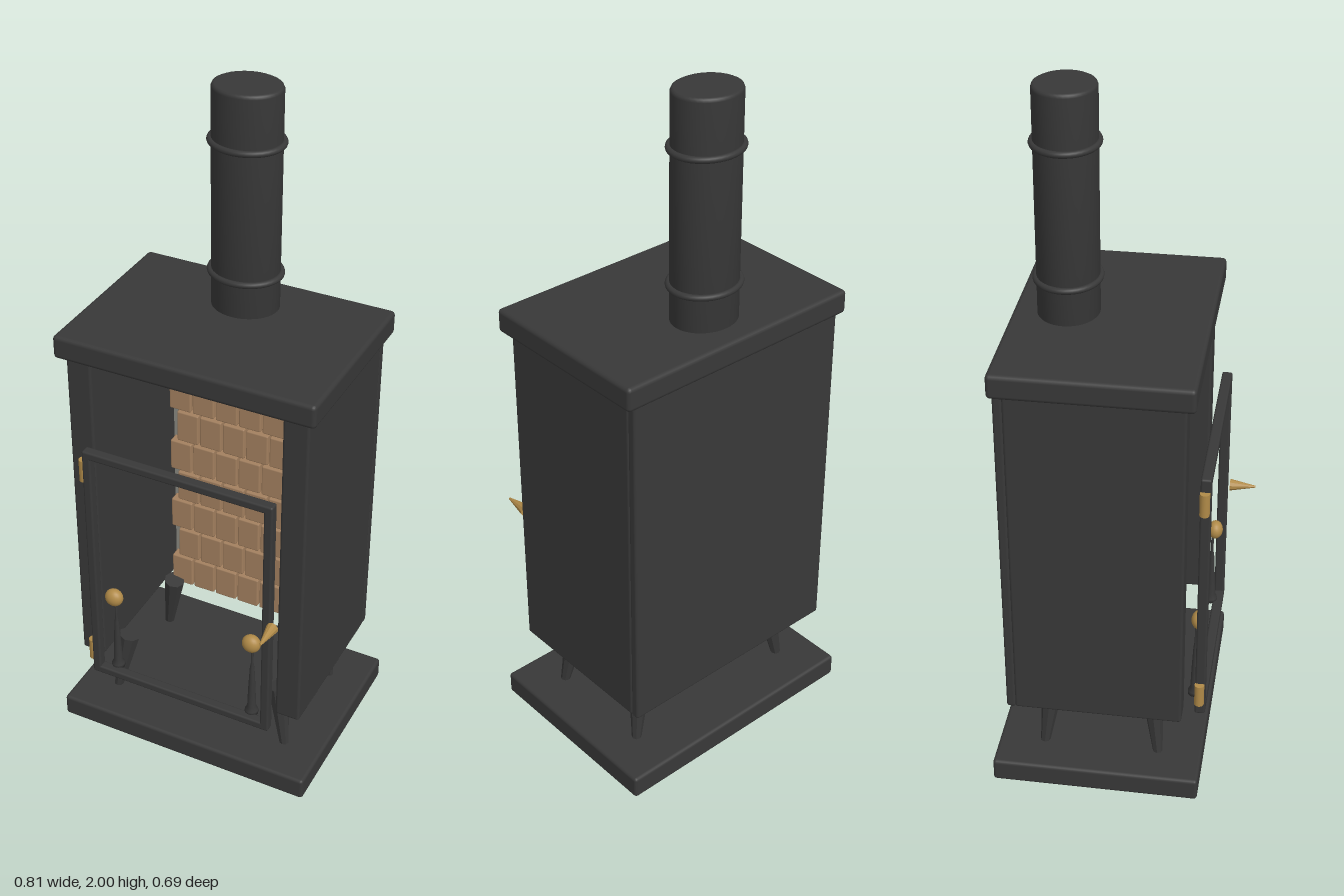
import * as THREE from 'three';
import { RoundedBoxGeometry } from 'three/addons/geometries/RoundedBoxGeometry.js';

const mat = (name, color, extra) => {
  const m = new THREE.MeshStandardMaterial({ color, ...extra });
  m.name = name;
  return m;
};

export function createModel() {
  const stove = new THREE.Group();
  stove.name = 'woodStove';
  const iron = mat('castIron', 0x383838);
  const ironFlat = mat('castIronFaceted', 0x383838, { flatShading: true });
  const brick = mat('firebrick', 0xa3805f);
  const mortar = mat('mortar', 0x8a8a82);
  const brass = mat('brass', 0xb08a48);

  const add = (name, geometry, material, x = 0, y = 0, z = 0, parent = stove) => {
    const mesh = new THREE.Mesh(geometry, material);
    mesh.name = name;
    mesh.position.set(x, y, z);
    parent.add(mesh);
    return mesh;
  };
  // Rounded box given by its lower and upper limits on each axis
  const block = (name, material, [x0, x1], [y0, y1], [z0, z1], r = 0.008, parent = stove) =>
    add(name, new RoundedBoxGeometry(x1 - x0, y1 - y0, z1 - z0, 2, r), material,
      (x0 + x1) / 2, (y0 + y1) / 2, (z0 + z1) / 2, parent);
  const group = (name) => {
    const g = new THREE.Group();
    g.name = name;
    stove.add(g);
    return g;
  };

  // Hearth plate, open-fronted body and top slab
  block('hearthPlate', iron, [-0.403, 0.403], [0, 0.07], [-0.345, 0.255], 0.01);
  block('leftWall', iron, [0.285, 0.36], [0.25, 1.3], [-0.28, 0.2]);
  block('rightWall', iron, [-0.36, -0.285], [0.25, 1.3], [-0.28, 0.2]);
  block('backPanel', iron, [-0.36, 0.36], [0.25, 1.3], [-0.305, -0.278]);
  block('topSlab', iron, [-0.385, 0.385], [1.29, 1.36], [-0.315, 0.225], 0.012);

  // Oval flue pipe with two collars
  const flue = group('fluePipe');
  flue.position.z = -0.165;
  flue.scale.z = 0.88;
  const pipe = [[0, 1.34], [0.097, 1.34], [0.097, 1.99], [0.094, 1.997], [0.088, 2], [0, 2]];
  add('pipe', new THREE.LatheGeometry(pipe.map(([x, y]) => new THREE.Vector2(x, y)), 40),
    iron, 0, 0, 0, flue);
  for (const y of [1.465, 1.845]) {
    add('pipeCollar', new THREE.TorusGeometry(0.1, 0.009, 10, 40), iron, 0, y, 0, flue).rotation.x = Math.PI / 2;
  }

  // Splayed tapering legs
  for (const sx of [-1, 1]) {
    for (const sz of [-1, 1]) {
      const foot = new THREE.Vector3(sx * 0.285, 0.065, -0.042 + sz * 0.168);
      const top = new THREE.Vector3(sx * 0.252, 0.265, -0.042 + sz * 0.146);
      const dir = top.clone().sub(foot);
      const mid = foot.clone().add(top).multiplyScalar(0.5);
      const leg = add('leg', new THREE.CylinderGeometry(0.033, 0.014, dir.length(), 8), ironFlat, mid.x, mid.y, mid.z);
      leg.quaternion.setFromUnitVectors(new THREE.Vector3(0, 1, 0), dir.normalize());
    }
  }

  // Firebrick lining in staggered courses
  const lining = group('brickLining');
  add('liningBoard', new THREE.BoxGeometry(0.54, 0.77, 0.04), mortar, 0, 0.635, -0.258, lining);
  for (let row = 0; row < 7; row++) {
    for (let i = 0; i < 6; i++) {
      const x = -0.232 + (row % 2) * 0.024 + i * 0.0765;
      add('brick', new RoundedBoxGeometry(0.071, 0.104, 0.04, 1, 0.005), brick,
        x, 0.963 - row * 0.1105, -0.225, lining);
    }
  }

  // Door frame
  const door = group('door');
  for (const sx of [-1, 1]) {
    block('doorStile', iron, sx < 0 ? [-0.29, -0.264] : [0.264, 0.29], [0.23, 1.037], [0.231, 0.261], 0.006, door);
  }
  for (const y of [0.23, 1.012]) {
    block('doorRail', iron, [-0.285, 0.285], [y, y + 0.025], [0.231, 0.261], 0.006, door);
  }

  // Hinges and pointed handle
  for (const y of [0.307, 0.963]) {
    add('hinge', new THREE.CylinderGeometry(0.014, 0.014, 0.07, 16), brass, -0.294, y, 0.244, door);
  }
  add('handle', new THREE.CylinderGeometry(0.003, 0.018, 0.077, 10),
    mat('brassFaceted', 0xb08a48, { flatShading: true }), 0.3, 0.635, 0.304, door).rotation.x = Math.PI / 2;

  // Ball-topped firedogs behind the door
  const profile = [[0, 0.25], [0.02, 0.25], [0.02, 0.262], [0.013, 0.275], [0.011, 0.34],
    [0.007, 0.42], [0.004, 0.44], [0.004, 0.505], [0, 0.505]].map(([x, y]) => new THREE.Vector2(x, y));
  for (const x of [-0.223, 0.221]) {
    add('firedogPost', new THREE.LatheGeometry(profile, 12), iron, x, 0, 0.224);
    add('firedogBall', new THREE.SphereGeometry(0.028, 20, 14), brass, x, 0.52, 0.232).scale.z = 0.8;
  }
  return stove;
}
